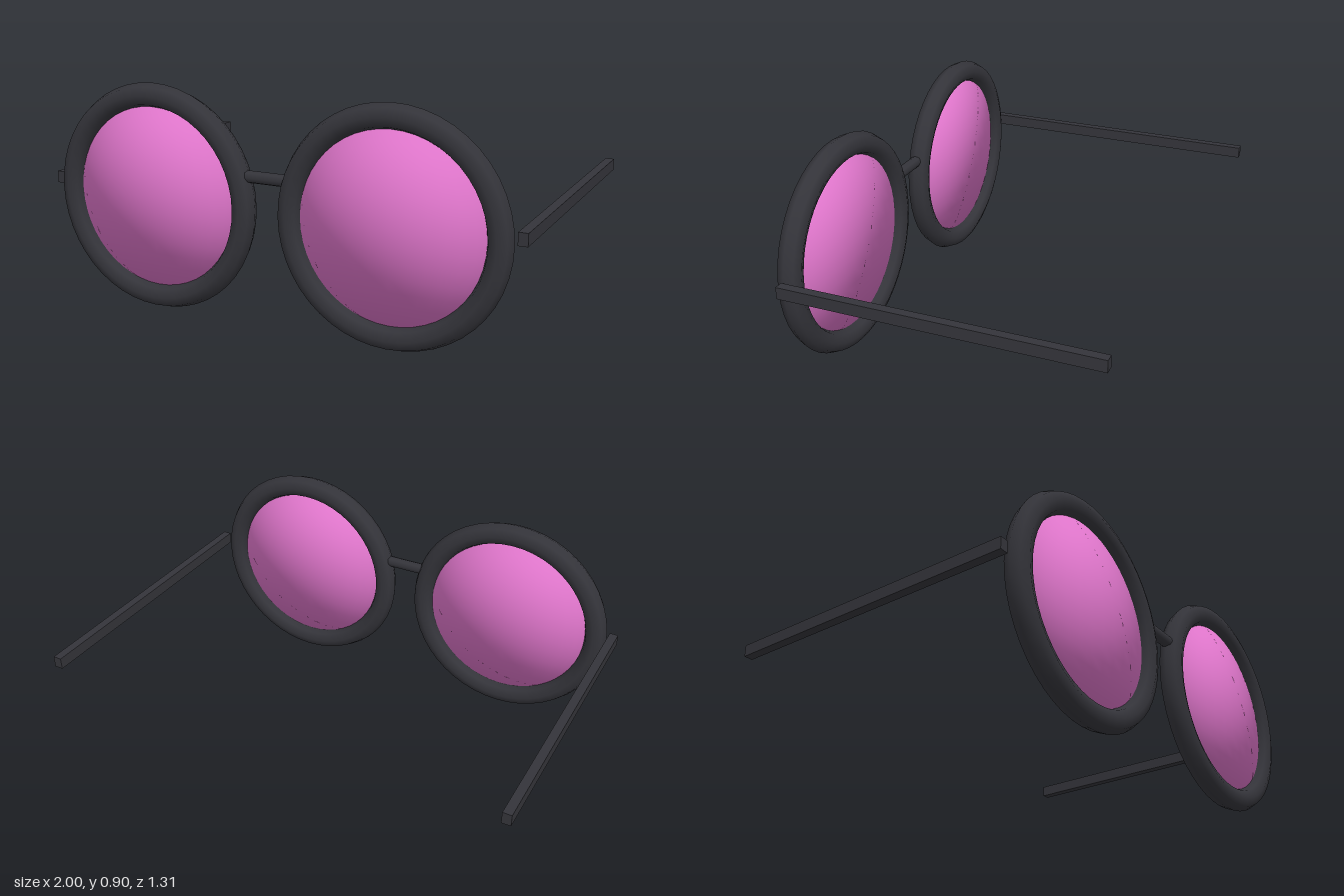
import * as THREE from 'three';

export function createModel() {
  const model = new THREE.Group();
  model.name = 'roundGlasses';

  const frameMat = new THREE.MeshStandardMaterial({ color: 0x34343a });
  frameMat.name = 'charcoalFrame';
  const lensMat = new THREE.MeshStandardMaterial({ color: 0xdc74c8 });
  lensMat.name = 'pinkLens';

  const frontZ = 0.606, rimX = 0.503, rimY = 0.452;

  const add = (name, geometry, material, x, y, z) => {
    const mesh = new THREE.Mesh(geometry, material);
    mesh.name = name;
    mesh.position.set(x, y, z);
    model.add(mesh);
    return mesh;
  };

  // Rim ring with an eight-sided section
  const rimGeo = new THREE.TorusGeometry(0.404, 0.048, 8, 48);

  // Thin lens: only the positions are flattened, so the shading stays domed
  const lensGeo = new THREE.SphereGeometry(0.39, 32, 20);
  const p = lensGeo.attributes.position;
  for (let i = 0; i < p.count; i++) p.setZ(i, p.getZ(i) * 0.05);

  // Straight temple arm
  const armGeo = new THREE.BoxGeometry(0.036, 0.048, 1.261);

  for (const [side, s] of [['left', 1], ['right', -1]]) {
    add(side + 'Rim', rimGeo, frameMat, s * rimX, rimY, frontZ);
    add(side + 'Lens', lensGeo, lensMat, s * rimX, rimY, frontZ);
    add(side + 'Arm', armGeo, frameMat, s * 0.982, 0.48, -0.0245);
  }

  // Bridge rod between the rims
  const bridge = add('bridge', new THREE.CylinderGeometry(0.024, 0.024, 0.2, 8), frameMat, 0, 0.58, frontZ);
  bridge.rotation.z = Math.PI / 2;

  return model;
}
